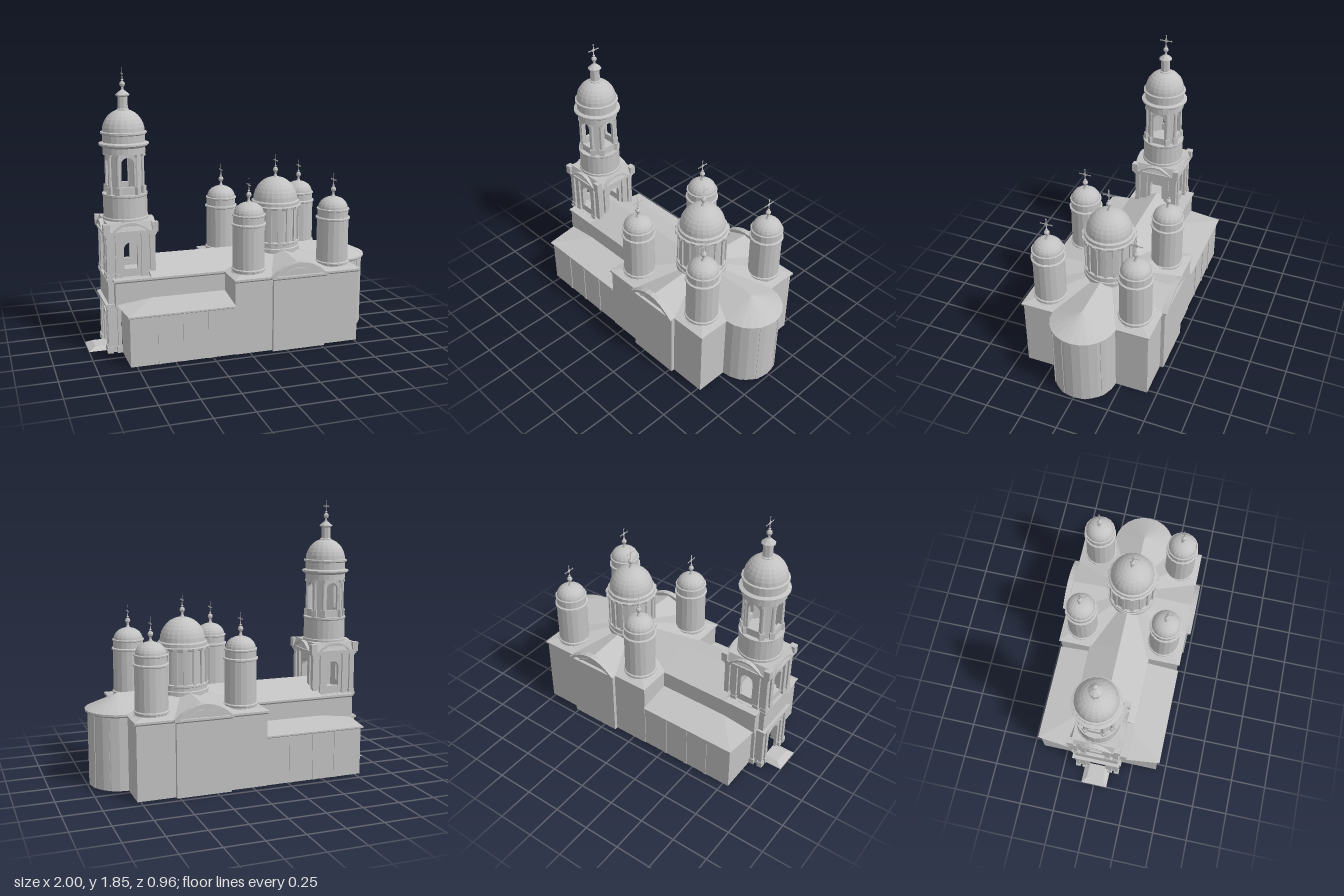
import * as THREE from 'three';

const stone = new THREE.MeshStandardMaterial({ color: 0xc2c2c2, flatShading: true, side: THREE.DoubleSide });
stone.name = 'pale stone';

function add(parent, name, geo, x = 0, y = 0, z = 0, ry = 0) {
  const m = new THREE.Mesh(geo, stone);
  m.name = name;
  m.position.set(x, y, z);
  m.rotation.y = ry;
  parent.add(m);
  return m;
}
function group(parent, name, x = 0, z = 0, ry = 0) {
  const g = new THREE.Group();
  g.name = name;
  g.position.set(x, 0, z);
  g.rotation.y = ry;
  parent.add(g);
  return g;
}
const box = (w, h, d) => new THREE.BoxGeometry(w, h, d);
const lathe = (pts, sides) => new THREE.LatheGeometry(pts.map(p => new THREE.Vector2(...p)), sides);
function surface(tris) {
  const g = new THREE.BufferGeometry();
  g.setAttribute('position', new THREE.Float32BufferAttribute(tris.flat(2), 3));
  g.computeVertexNormals();
  return g;
}
// skin between successive rings of [x, y, z] points
function loft(rings) {
  const t = [];
  for (let r = 0; r + 1 < rings.length; r++)
    for (let i = 0; i + 1 < rings[r].length; i++) {
      const a = rings[r][i], b = rings[r][i + 1], c = rings[r + 1][i + 1], d = rings[r + 1][i];
      t.push([a, b, c], [a, c, d]);
    }
  return surface(t);
}
const fan = (c, pts) => surface(pts.slice(1).map((p, i) => [c, pts[i], p]));
const at = (pts, y) => pts.map(([x, z]) => [x, y, z]);
// completes a +z half outline with its reflection
const mirrorZ = half => [...half, ...half.slice().reverse().map(p => p.length === 2 ? [p[0], -p[1]] : [p[0], p[1], -p[2]])];
const arc = (cx, r, n) => Array.from({ length: n + 1 }, (_, i) => {
  const a = Math.PI / 2 * (1 - i / n);
  return [cx + r * Math.cos(a), r * Math.sin(a)];
});
const extrude = (shape, depth) => new THREE.ExtrudeGeometry(shape, { depth, bevelEnabled: false, curveSegments: 8 });
// flat wall standing on y = 0 with a round-headed opening
function archWall(w, h, ow, sill, top, depth) {
  const s = new THREE.Shape([[-w / 2, 0], [w / 2, 0], [w / 2, h], [-w / 2, h]].map(p => new THREE.Vector2(...p)));
  const o = new THREE.Path();
  o.moveTo(-ow / 2, sill);
  o.lineTo(ow / 2, sill);
  o.lineTo(ow / 2, top - ow / 2);
  o.absarc(0, top - ow / 2, ow / 2, 0, Math.PI, false);
  o.lineTo(-ow / 2, sill);
  s.holes.push(o);
  return extrude(s, depth);
}
// shallow arched pediment: t = 0 gives the solid infill, otherwise only a band
function pediment(a, h, t, depth) {
  const s = new THREE.Shape();
  s.moveTo(a, 0);
  s.quadraticCurveTo(0, 2 * h, -a, 0);
  if (t) {
    s.lineTo(-a + t, 0);
    s.quadraticCurveTo(0, 2 * (h - t), a - t, 0);
  }
  s.closePath();
  return extrude(s, depth);
}
function domeProfile(r, y0, y1, n = 7) {
  return Array.from({ length: n + 1 }, (_, i) => {
    const a = Math.PI / 2 * i / n;
    return [Math.max(r * Math.cos(a), 0.001), y0 + (y1 - y0) * Math.sin(a)];
  });
}
// ball finial topped with a flat flared cross
function finial(parent, y) {
  add(parent, 'finial', lathe([[0.028, -0.012], [0.014, 0.008], [0.008, 0.02], [0.008, 0.034], [0.015, 0.04], [0.019, 0.052],
    [0.015, 0.063], [0.005, 0.07], [0.009, 0.077], [0.003, 0.084], [0.003, 0.1]], 8), 0, y);
  const pts = [];
  for (let i = 0; i < 4; i++) {
    const a = i * Math.PI / 2, c = Math.cos(a), s = Math.sin(a);
    for (const [u, v] of [[0.009, -0.009], [0.012, -0.004], [0.037, -0.004], [0.04, -0.008], [0.045, 0], [0.04, 0.008], [0.037, 0.004], [0.012, 0.004]])
      pts.push(new THREE.Vector2(u * c - v * s, u * s + v * c));
  }
  add(parent, 'cross', new THREE.ShapeGeometry(new THREE.Shape(pts)), 0, y + 0.117, 0, Math.PI / 2);
}

function buildChurch(root) {
  const g = group(root, 'church');
  // main walls with transept projections, apse and eaves
  const wall = mirrorZ([[-0.1, 0.2], [-0.1, 0.435], [0.155, 0.435], [0.155, 0.46], [0.52, 0.46], [0.52, 0.435], [0.77, 0.435], ...arc(0.77, 0.213, 6)]);
  const eave = mirrorZ([[-0.11, 0.2], [-0.11, 0.447], [0.14, 0.447], [0.14, 0.472], [0.533, 0.472], [0.533, 0.447], [0.782, 0.447], ...arc(0.778, 0.222, 6)]);
  add(g, 'mainWalls', loft([at(wall, 0), at(wall, 0.485), at(eave, 0.495), at(eave, 0.508)]));
  const e = 0.508;
  add(g, 'mainRoof', fan([0.335, 0.61, 0], mirrorZ([[-0.11, 0.612, 0], [-0.11, e, 0.21], [-0.11, e, 0.447], [0.14, e, 0.447],
    [0.335, 0.585, 0.447], [0.533, e, 0.447], [0.782, e, 0.447], [0.782, e, 0.222], [0.79, 0.602, 0]])));
  add(g, 'apseRoof', fan([0.79, 0.602, 0], at(mirrorZ(arc(0.778, 0.222, 6)), e)));
  for (const a of [-0.95, -0.4, 0.4, 0.95])
    add(g, 'apsePilaster', box(0.012, 0.485, 0.025), 0.77 + 0.209 * Math.cos(a), 0.2425, 0.209 * Math.sin(a), -a);
  for (const side of [0, Math.PI]) {
    const p = group(g, 'transeptPediment', 0.335, 0, side);
    add(p, 'archBand', pediment(0.195, 0.095, 0.022, 0.04), 0, 0.505, 0.44);
    add(p, 'archInfill', pediment(0.18, 0.08, 0, 0.01), 0, 0.505, 0.442);
    add(p, 'innerArch', pediment(0.125, 0.055, 0.012, 0.02), 0, 0.505, 0.442);
    add(p, 'sideFloor', box(0.39, 0.006, 0.03), 0, 0.505, 0.458);
  }

  // nave with gabled roof
  const nave = mirrorZ([[-0.1, 0.21], [-0.835, 0.21], [-0.835, 0.1]]);
  const naveEave = mirrorZ([[-0.1, 0.22], [-0.845, 0.22], [-0.845, 0.1]]);
  add(g, 'naveWalls', loft([at(nave, 0.33), at(nave, 0.485), at(naveEave, 0.495), at(naveEave, e)]));
  add(g, 'naveRoof', loft([[-0.6, -0.1].map(x => [x, e, 0.22]), [-0.6, -0.1].map(x => [x, 0.612, 0]), [-0.6, -0.1].map(x => [x, e, -0.22])]));
  add(g, 'naveGable', surface([[[-0.6, e, 0.22], [-0.6, 0.612, 0], [-0.6, e, -0.22]]]));
  for (const z of [0.185, -0.185]) add(g, 'naveShoulder', box(0.245, 0.008, 0.07), -0.722, 0.504, z);

  // low side aisles with lean-to hipped roofs
  const aisle = [[-0.1, 0.43], [-0.79, 0.43], [-0.79, 0.15]], aisleEave = [[-0.1, 0.446], [-0.802, 0.446], [-0.802, 0.15]];
  for (const s of [1, -1]) {
    const flip = pts => pts.map(([x, z]) => [x, z * s]);
    const A = flip(aisle), E = flip(aisleEave);
    add(g, 'aisleWalls', loft([at(A, 0), at(A, 0.318), at(E, 0.326), at(E, 0.336)]));
    add(g, 'aisleRoof', loft([at(E, 0.336), [[-0.1, 0.372, 0.21 * s], [-0.6, 0.372, 0.21 * s], [-0.835, 0.345, 0.15 * s]]]));
    for (const x of [-0.6, -0.44, -0.27])
      add(g, 'wallStrip', box(0.02, 0.318, 0.008), x, 0.159, 0.431 * s);
  }
}

function buildCupolas(root) {
  // four corner cupolas
  for (const x of [0.035, 0.635]) for (const z of [0.3, -0.3]) {
    const c = group(root, 'cornerCupola', x, z);
    add(c, 'drum', lathe([[0.118, 0.47], [0.118, 0.515], [0.108, 0.522], [0.108, 0.532], [0.115, 0.536], [0.115, 0.545], [0.106, 0.55],
      [0.106, 0.83], [0.115, 0.835], [0.115, 0.845], [0.103, 0.85], [0.103, 0.893], [0.109, 0.897], [0.109, 0.905], [0.1, 0.908]], 18));
    add(c, 'dome', lathe(domeProfile(0.1, 0.905, 0.985), 18));
    finial(c, 0.98);
  }
  // central drum and dome
  const c = group(root, 'centralCupola', 0.335);
  add(c, 'drum', lathe([[0.172, 0.5], [0.172, 0.605], [0.165, 0.61], [0.165, 0.632], [0.173, 0.636], [0.173, 0.648], [0.158, 0.652],
    [0.158, 0.872], [0.174, 0.878], [0.178, 0.893], [0.166, 0.898], [0.166, 0.92], [0.152, 0.928]], 24));
  add(c, 'dome', lathe(domeProfile(0.153, 0.925, 1.085, 8), 24));
  for (let i = 0; i < 16; i++) {
    const a = (i + 0.5) * Math.PI / 8;
    add(c, 'drumPilaster', box(0.022, 0.225, 0.014), 0.16 * Math.sin(a), 0.762, 0.16 * Math.cos(a), a);
    add(c, 'corniceBlock', box(0.03, 0.018, 0.02), 0.172 * Math.sin(a), 0.885, 0.172 * Math.cos(a), a);
  }
  finial(c, 1.08);
}

function buildTower(root) {
  const t = group(root, 'bellTower', -0.717);
  for (let i = 0; i < 4; i++) {
    const f = group(t, 'towerFace', 0, 0, i * Math.PI / 2);
    // square tier with arched openings and paired pilasters
    add(f, 'tierWall', archWall(0.29, 0.31, 0.09, 0.06, 0.235, 0.025), 0, 0.5, 0.12);
    for (const x of [-0.142, -0.085, 0.085, 0.142]) {
      add(f, 'pilaster', box(0.034, 0.26, 0.03), x, 0.655, 0.145);
      add(f, 'pilasterBase', box(0.042, 0.025, 0.036), x, 0.522, 0.146);
      add(f, 'pilasterCap', box(0.042, 0.012, 0.036), x, 0.782, 0.146);
    }
    // attic pediment and corner blocks
    add(f, 'tierPediment', pediment(0.12, 0.057, 0.014, 0.05), 0, 0.815, 0.13);
    add(f, 'tierPedimentInfill', pediment(0.11, 0.046, 0, 0.03), 0, 0.815, 0.13);
    add(f, 'cornerBlock', box(0.042, 0.055, 0.042), 0.158, 0.84, 0.158);
    // belfry openings and columns
    add(f, 'belfryArch', archWall(0.115, 0.27, 0.082, 0.05, 0.24, 0.022), 0, 1.04, 0.092);
    const d = group(f, 'belfryPier', 0, 0, Math.PI / 4);
    add(d, 'pier', box(0.075, 0.27, 0.02), 0, 1.175, 0.106);
    for (const a of [-0.27, 0.27]) {
      const x = 0.122 * Math.sin(a), z = 0.122 * Math.cos(a);
      add(d, 'columnPedestal', box(0.034, 0.05, 0.034), x, 1.065, z);
      add(d, 'column', new THREE.CylinderGeometry(0.011, 0.013, 0.2, 8), x, 1.185, z);
      add(d, 'columnCap', box(0.03, 0.018, 0.03), x, 1.291, z);
    }
  }
  add(t, 'tierBaseCornice', box(0.335, 0.018, 0.335), 0, 0.5);
  add(t, 'tierCorniceLower', box(0.34, 0.014, 0.34), 0, 0.796);
  add(t, 'tierCornice', box(0.358, 0.014, 0.358), 0, 0.81);
  const slope = new THREE.CylinderGeometry(0.15 * Math.SQRT2, 0.17 * Math.SQRT2, 0.055, 4, 1, false, Math.PI / 4);
  add(t, 'tierRoof', slope, 0, 0.844);
  // round stages
  add(t, 'belfryPedestal', lathe([[0.15, 0.85], [0.15, 0.885], [0.144, 0.89], [0.144, 1.022], [0.148, 1.027], [0.148, 1.04], [0.001, 1.042]], 24));
  add(t, 'belfryCornice', lathe([[0.001, 1.3], [0.138, 1.3], [0.138, 1.34], [0.15, 1.346], [0.162, 1.356], [0.162, 1.366], [0.138, 1.374],
    [0.138, 1.42], [0.15, 1.427], [0.15, 1.438], [0.138, 1.442]], 24));
  add(t, 'towerDome', lathe(domeProfile(0.138, 1.44, 1.582, 8), 20));
  add(t, 'lantern', lathe([[0.042, 1.56], [0.042, 1.58], [0.033, 1.585], [0.033, 1.66], [0.046, 1.668], [0.046, 1.674], [0.022, 1.695], [0.005, 1.705]], 8));
  finial(t, 1.688);

  // lower shaft and entrance portal on the west side
  const half = [[-0.6, 0.155], [-0.872, 0.155]];
  add(t, 'shaftWalls', loft([0.33, 0.5].map(y => at(mirrorZ(half).map(([x, z]) => [x + 0.717, z]), y))));
  const p = group(root, 'entrance', -0.85, 0, -Math.PI / 2);
  add(p, 'doorWall', archWall(0.29, 0.33, 0.12, 0.012, 0.25, 0.02));
  for (const s of [-1, 1]) {
    add(p, 'portalCheek', box(0.02, 0.33, 0.06), 0.135 * s, 0.165, -0.03);
    for (const [x, z] of [[0.145, 0.018], [0.095, 0.018], [0.15, -0.045]]) {
      add(p, 'portalColumn', box(0.024, 0.27, 0.024), x * s, 0.175, z);
      add(p, 'portalBase', box(0.036, 0.042, 0.038), x * s, 0.021, z);
      add(p, 'portalCap', box(0.034, 0.02, 0.034), x * s, 0.312, z);
    }
  }
  add(p, 'portalCornice', box(0.345, 0.016, 0.1), 0, 0.33, -0.005);
  add(p, 'doorPediment', pediment(0.09, 0.03, 0.01, 0.02), 0, 0.265, 0.015);
  // entrance step with sloped edges
  const ring = (x, w, y) => [[-0.87, y, w], [x, y, w], [x, y, -w], [-0.87, y, -w]];
  const top = ring(-0.955, 0.06, 0.022);
  add(root, 'entranceStep', loft([ring(-1, 0.095, 0), top]));
  add(root, 'entranceStepTop', fan(top[0], top.slice(1)));
}

export function createModel() {
  const root = new THREE.Group();
  root.name = 'cathedral';
  buildChurch(root);
  buildCupolas(root);
  buildTower(root);
  return root;
}
